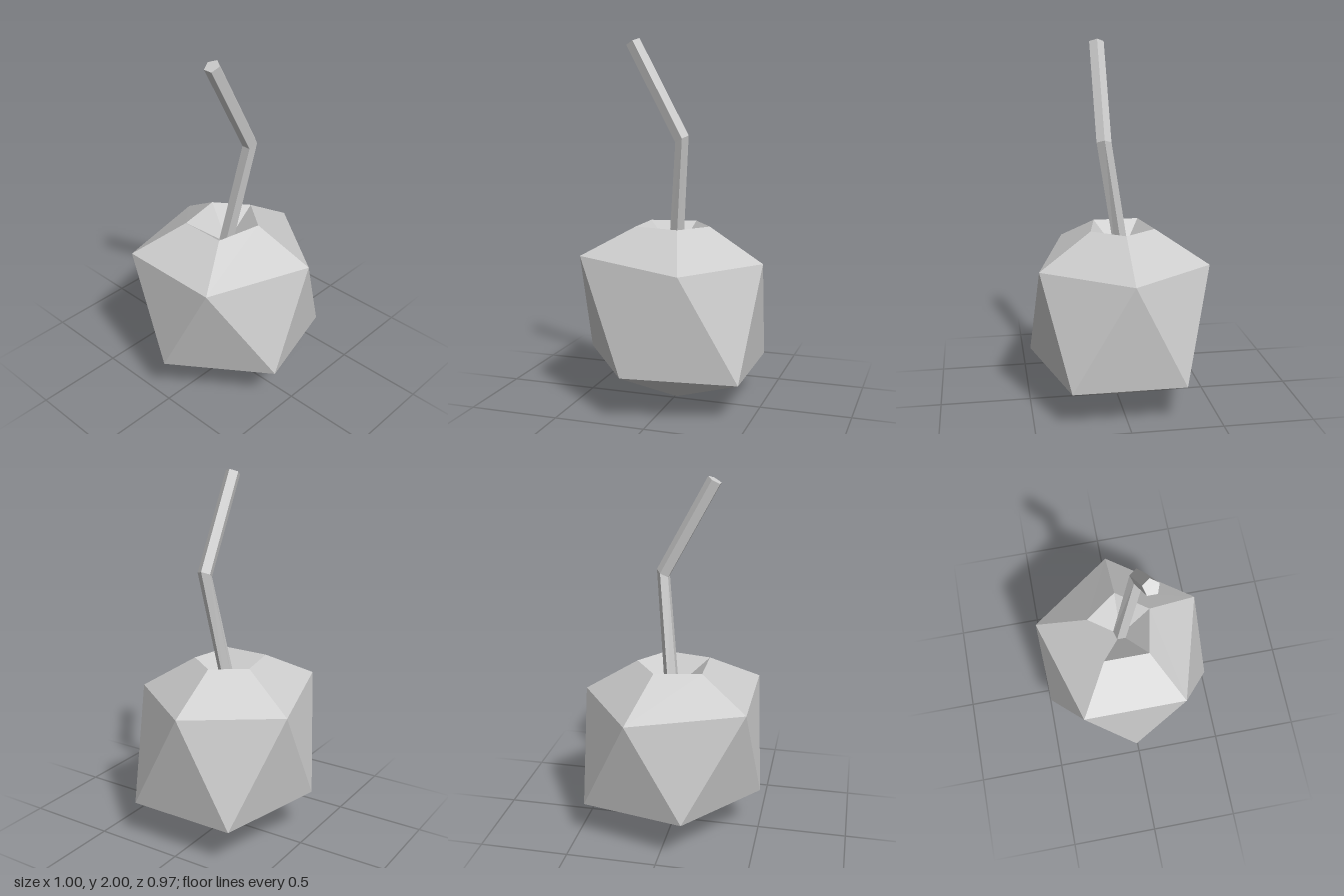
import * as THREE from 'three';

const N = 5;
const v = (x, y, z) => new THREE.Vector3(x, y, z);

// Collects flat triangles from five-sided rings, listed from +x towards +z.
function facets() {
  const p = [];
  const tri = (...c) => c.forEach((q) => p.push(q.x, q.y, q.z));
  const each = (fn) => { for (let i = 0; i < N; i++) fn(i, (i + 1) % N); };
  return {
    band: (top, low) => each((i, j) => {
      tri(top[i], top[j], low[j]);
      tri(top[i], low[j], low[i]);
    }),
    // low ring turned half a step against the top ring
    zigzag: (top, low) => each((i, j) => {
      tri(top[i], top[j], low[i]);
      tri(low[i], top[j], low[j]);
    }),
    closeBelow: (ring, tip) => each((i, j) => tri(ring[i], ring[j], tip)),
    closeAbove: (ring, tip) => each((i, j) => tri(ring[j], ring[i], tip)),
    mesh(name) {
      const g = new THREE.BufferGeometry();
      g.setAttribute('position', new THREE.Float32BufferAttribute(p, 3));
      g.computeVertexNormals();
      const mesh = new THREE.Mesh(g, new THREE.MeshStandardMaterial({ color: 0xcccccc, flatShading: true }));
      mesh.name = name;
      return mesh;
    },
  };
}

// Twenty-sided shell with its top cut off and sunk into a pit
function createShell() {
  const rim = [[0.2, -0.02], [0.07, 0.155], [-0.185, 0.105], [-0.185, -0.148], [0.07, -0.198]]
    .map(([x, z]) => v(x, 0.99, z));
  const upper = [[0.5, 0.8, -0.02], [0.165, 0.8, 0.445], [-0.448, 0.84, 0.266], [-0.448, 0.84, -0.31], [0.165, 0.8, -0.488]]
    .map((c) => v(...c));
  const lower = [[0.45, 0.215, 0.305], [-0.138, 0.253, 0.485], [-0.505, 0.253, -0.02], [-0.138, 0.253, -0.488], [0.45, 0.215, -0.31]]
    .map((c) => v(...c));
  const f = facets();
  f.closeAbove(rim, v(0.007, 0.825, -0.022));
  f.band(rim, upper);
  f.zigzag(upper, lower);
  f.closeBelow(lower, v(0.01, 0, -0.02));
  return f.mesh('shell');
}

// Bent five-sided straw standing in the pit
function createStraw() {
  const stops = [
    { c: v(0, 0.8, -0.032), tilt: 0 },
    { c: v(0.073, 1.47, 0.082), tilt: 0.5 },
    { c: v(-0.202, 1.981, 0.082), tilt: 0.5 },
  ];
  const rings = stops.map(({ c, tilt }) => Array.from({ length: N }, (_, i) => {
    const a = (i / N) * Math.PI * 2, r = 0.042;
    return v(r * Math.cos(a), 0, r * Math.sin(a)).applyAxisAngle(v(0, 0, 1), tilt).add(c);
  }));
  const f = facets();
  f.closeBelow(rings[0], stops[0].c);
  f.band(rings[1], rings[0]);
  f.band(rings[2], rings[1]);
  f.closeAbove(rings[2], stops[2].c);
  return f.mesh('straw');
}

export function createModel() {
  const group = new THREE.Group();
  group.name = 'coconutDrink';
  group.add(createShell(), createStraw());
  return group;
}
